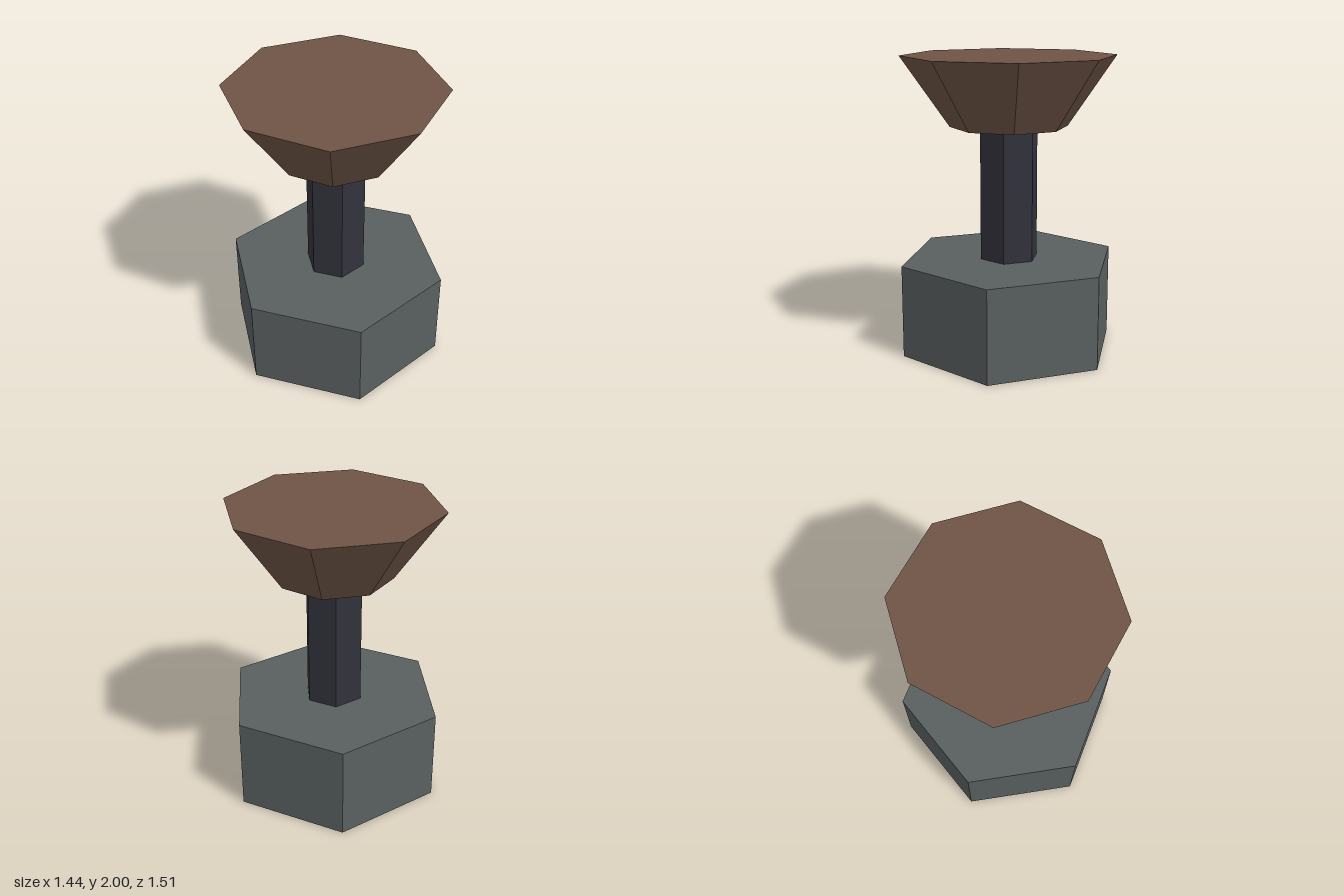
import * as THREE from 'three';

const wood = new THREE.MeshStandardMaterial({ name: 'brown', color: 0x6e5446, flatShading: true });
const dark = new THREE.MeshStandardMaterial({ name: 'dark slate', color: 0x32323c, flatShading: true });
const stone = new THREE.MeshStandardMaterial({ name: 'stone grey', color: 0x595f5f, flatShading: true });

// Faceted prism or frustum standing between two heights
function frustum(name, material, sides, rBottom, rTop, y0, y1) {
  const geometry = new THREE.CylinderGeometry(rTop, rBottom, y1 - y0, sides);
  const mesh = new THREE.Mesh(geometry, material);
  mesh.name = name;
  mesh.position.y = (y0 + y1) / 2;
  return mesh;
}

export function createModel() {
  const group = new THREE.Group();
  group.name = 'pedestal';
  group.add(
    frustum('base', stone, 6, 0.755, 0.755, 0, 0.63),
    frustum('stem', dark, 6, 0.203, 0.203, 0.63, 1.53),
    frustum('flaredTop', wood, 8, 0.395, 0.72, 1.53, 2),
  );
  return group;
}
